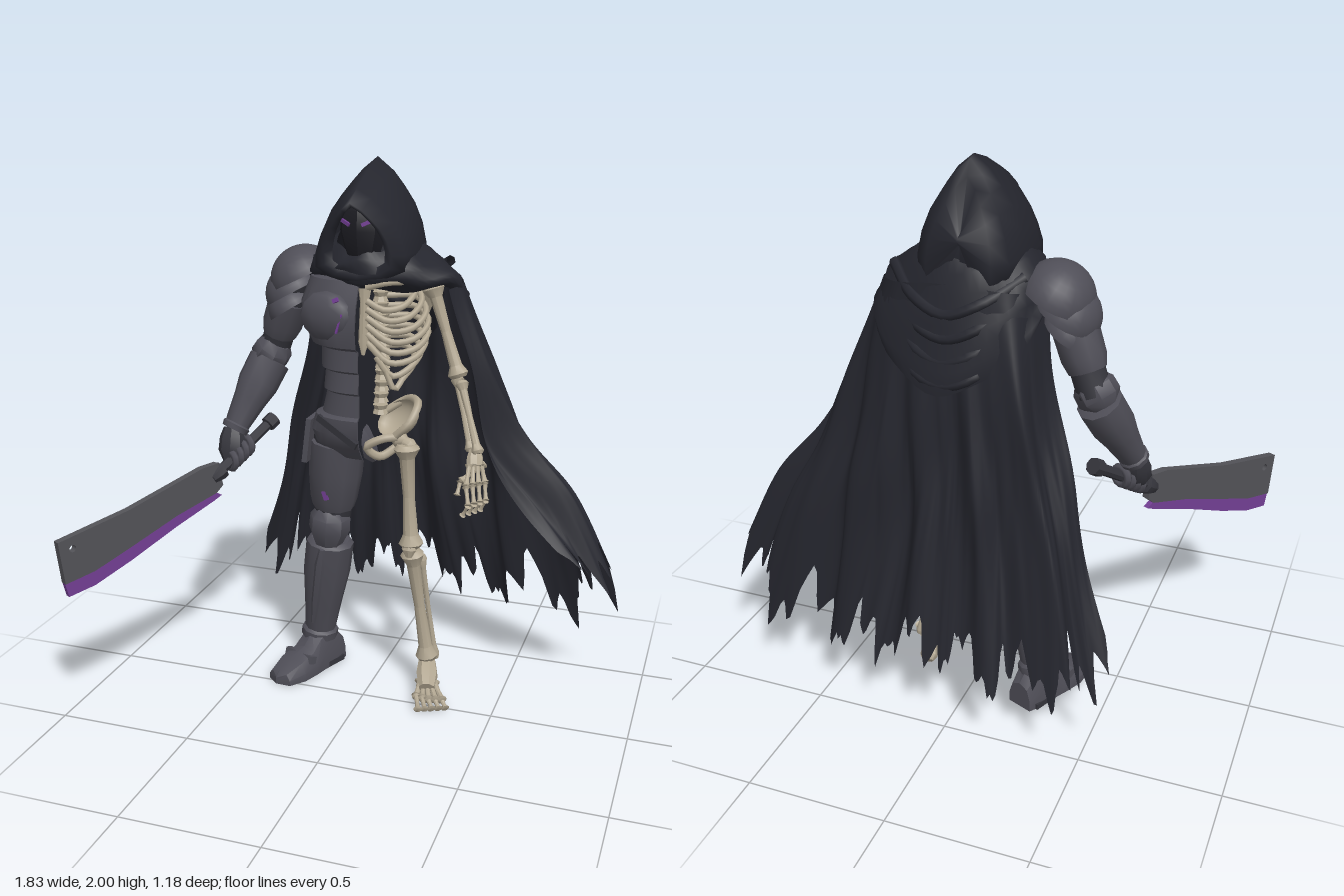
import * as THREE from 'three';
import { toCreasedNormals } from 'three/addons/utils/BufferGeometryUtils.js';

const V = (x, y, z) => new THREE.Vector3(x, y, z);
const mat = (name, color) => new THREE.MeshStandardMaterial({ name, color, side: THREE.DoubleSide });
const hash = n => { const s = Math.sin(n * 127.1) * 43758.5; return s - Math.floor(s); };
const tri = t => Math.abs((t - Math.floor(t)) * 2 - 1);

export function createModel() {
  const model = new THREE.Group();
  const cloth = mat('cloak cloth', 0x25262e), dark = mat('mask black', 0x1d1d23);
  const armour = mat('worn armour', 0x4f4e57), under = mat('dark joints', 0x35353c);
  const bone = mat('old bone', 0xb3a893), steel = mat('blade steel', 0x535358);
  const purple = mat('purple glow', 0x733f94);

  const add = (name, geo, m, parent = model) => {
    const mesh = new THREE.Mesh(geo, m);
    mesh.name = name;
    parent.add(mesh);
    return mesh;
  };
  // Surface through rows of points
  const loft = (rows, closed, crease) => {
    const n = rows[0].length, idx = [];
    for (let r = 0; r < rows.length - 1; r++)
      for (let i = 0; i < (closed ? n : n - 1); i++) {
        const a = r * n + i, b = r * n + (i + 1) % n;
        idx.push(a, b, b + n, a, b + n, a + n);
      }
    const g = new THREE.BufferGeometry().setFromPoints(rows.flat());
    g.setIndex(idx);
    g.computeVertexNormals();
    return crease ? toCreasedNormals(g, crease) : g;
  };
  // Turned solid running from a to b; profile holds [fraction, radius]
  const limb = (name, m, a, b, profile, seg = 12, flat = 1, parent = model) => {
    const d = b.clone().sub(a), len = d.length();
    const pts = [[profile[0][0], 0], ...profile, [profile.at(-1)[0], 0]];
    const g = new THREE.LatheGeometry(pts.map(([t, r]) => new THREE.Vector2(r, t * len)), seg);
    const mesh = add(name, toCreasedNormals(g, 0.7), m, parent);
    mesh.position.copy(a);
    mesh.quaternion.setFromUnitVectors(V(0, 1, 0), d.normalize());
    mesh.scale.z = flat;
    return mesh;
  };
  const longBone = (name, a, b, r) => limb(name, bone, a, b, [[0, 1.3], [.04, 1.9], [.13, 1.1], [.5, .85], [.87, 1.1], [.96, 1.8], [1, 1.3]].map(([t, k]) => [t, k * r]), 9);
  const tube = (name, m, pts, r) => add(name, new THREE.TubeGeometry(new THREE.CatmullRomCurve3(pts), 20, r, 6), m);
  const box = (name, m, size, pos, rot = [0, 0, 0], parent = model) => {
    const b = add(name, new THREE.BoxGeometry(...size), m, parent);
    b.position.set(...pos);
    b.rotation.set(...rot);
    return b;
  };

  // Cloak: eight hanging lines, from its right edge round the back to its left edge
  const lines = [
    [[-.26, 1.58, -.18], [-.29, 1.3, -.23], [-.37, 1, -.29], [-.47, .68, -.36], [-.66, .18, -.46]],
    [[-.2, 1.6, -.33], [-.25, 1.3, -.4], [-.31, 1, -.43], [-.37, .68, -.48], [-.46, .14, -.57]],
    [[-.08, 1.62, -.38], [-.1, 1.3, -.43], [-.12, 1, -.45], [-.14, .68, -.49], [-.16, .14, -.58]],
    [[.06, 1.62, -.38], [.05, 1.3, -.43], [.05, 1, -.45], [.07, .68, -.48], [.1, .2, -.57]],
    [[.2, 1.6, -.35], [.23, 1.3, -.4], [.26, 1, -.43], [.31, .68, -.45], [.42, .1, -.52]],
    [[.29, 1.58, -.25], [.38, 1.3, -.3], [.48, 1.04, -.33], [.6, .74, -.37], [.77, .14, -.41]],
    [[.3, 1.57, -.2], [.4, 1.3, -.2], [.53, 1, -.24], [.73, .78, -.28], [.95, .36, -.3]],
    [[.27, 1.56, -.13], [.34, 1.3, -.15], [.4, 1, -.16], [.52, .76, -.17], [.82, .48, -.15]]];
  const levels = [0, 1, 2, 3, 4].map(l => new THREE.CatmullRomCurve3(lines.map(c => V(...c[l]))));
  const cloak = [];
  const U = 200, R = 30;
  for (let i = 0; i <= U; i++) {
    const u = i / U, drop = new THREE.CatmullRomCurve3(levels.map(c => c.getPoint(u)));
    const end = 1 - .08 * tri(u * 9.3) - .06 * tri(u * 29) - .04 * hash(Math.floor(i / 2));
    cloak.push(Array.from({ length: R + 1 }, (_, j) => {
      const v = j / R, p = drop.getPoint(Math.min(1, v * end));
      const out = V(p.x, 0, p.z + .1).normalize();
      const fold = .6 * Math.sin(u * 44 + v * 2) + .4 * Math.sin(u * 23 - v * 9) + .25 * Math.sin(u * 80 + v * 5);
      return p.addScaledVector(out, .03 * Math.min(1, v * 1.6) * fold);
    }));
  }
  add('cloak', loft(cloak), cloth);

  // Draped cowl: [front y, back y, half width, front z, back z, centre x]
  const cowl = [[1.69, 1.75, .12, -.01, -.31, -.02], [1.665, 1.7, .17, .012, -.35, -.02], [1.65, 1.66, .2, .008, -.37, -.015], [1.63, 1.6, .235, .02, -.4, -.01],
    [1.615, 1.55, .25, .008, -.405, 0], [1.595, 1.49, .28, .012, -.43, .01], [1.58, 1.43, .285, -.01, -.43, .015], [1.565, 1.36, .295, -.025, -.455, .02], [1.555, 1.28, .285, -.05, -.455, .02]];
  add('cowl', loft(cowl.map(([yf, yb, w, zf, zb, cx], r) => Array.from({ length: 48 }, (_, i) => {
    const a = i / 48 * Math.PI * 2, c = Math.cos(a), s = Math.sin(a), k = (1 - c) / 2;
    const ripple = 1 + .02 * Math.sin(a * 5 + r * 1.4);
    return V(cx + w * s * ripple, yf + (yb - yf) * k * k + .03 * s * s + .008 * Math.sin(a * 7 + r), (zf + zb) / 2 + (zf - zb) / 2 * c * ripple);
  })), true), cloth);
  for (let i = 0; i < 4; i++) // hanging folds on the upper back
    tube('cowlFold', cloth, [V(-.21 + i * .02, 1.64 - i * .06, -.28), V(-.1, 1.57 - i * .075, -.385 - i * .012), V(.01, 1.53 - i * .075, -.405 - i * .012), V(.12, 1.57 - i * .075, -.385 - i * .012), V(.24 - i * .02, 1.64 - i * .06, -.27)], .019);

  // Hood: peaked sections from rim to nape, [top y, top z, bottom y, bottom z, half width]
  const hood = [[1.855, .07, 1.63, .0, .095], [1.87, .09, 1.61, .015, .122], [1.91, .01, 1.59, .005, .162], [1.965, -.11, 1.57, -.09, .178], [2, -.22, 1.56, -.2, .178],
    [1.99, -.25, 1.56, -.31, .155], [1.94, -.275, 1.58, -.36, .11], [1.78, -.33, 1.74, -.34, 0]];
  const half = [[0, 0], [.1, .3], [.22, .52], [.36, .74], [.52, .9], [.7, 1], [.86, .98], [.96, .6]];
  const outline = [...half, [1, 0], ...half.slice(1).reverse().map(([t, x]) => [t, -x])];
  add('hood', loft(hood.map(([yt, zt, yb, zb, w]) => outline.map(([t, x]) =>
    V(-.02 + w * x, yt + (yb - yt) * t, zt + (zb - zt) * t - .035 * Math.sin(t * Math.PI) * (w < .17 ? 1 : 0)))), true), cloth);

  // Shadowed mask and eyes
  limb('mask', dark, V(-.02, 1.62, -.05), V(-.02, 1.9, -.07), [[0, .02], [.2, .06], [.5, .085], [.75, .08], [1, .03]], 8, .9);
  for (const s of [-1, 1]) box('eye', purple, [.036, .012, .008], [-.02 + s * .037, 1.797, .022], [0, s * .4, s * .4]);

  // Armoured half of the torso: [y, width, front z, back z]
  const torso = [[1.63, .08, -.06, -.26], [1.59, .22, -.01, -.28], [1.5, .25, .03, -.28], [1.42, .235, .045, -.27], [1.36, .2, .035, -.25], [1.345, .17, .005, -.24],
    [1.27, .168, .01, -.23], [1.26, .155, -.005, -.22], [1.19, .16, .005, -.22], [1.18, .15, -.01, -.22], [1.1, .17, -.005, -.23], [1.09, .195, .01, -.24],
    [1.03, .215, .01, -.25], [.98, .2, -.01, -.24], [.93, .12, -.05, -.2], [.92, 0, -.12, -.12]];
  add('torsoArmour', loft(torso.map(([y, w, zf, zb]) => Array.from({ length: 15 }, (_, i) => {
    const a = i / 14 * Math.PI;
    return V(-.02 - w * Math.pow(Math.sin(a), .8), y, (zf + zb) / 2 + (zf - zb) / 2 * Math.cos(a));
  })), true, .5), armour);
  // Dark cut face along the middle of the body
  add('torsoLining', loft(torso.map(([y, , zf, zb]) => [V(-.016, y, zf + .002), V(-.016, y, zb)])), cloth);
  const chest = add('breastPlate', new THREE.SphereGeometry(1, 10, 6).scale(.11, .09, .05), armour);
  chest.position.set(-.135, 1.465, 0);
  chest.rotation.y = -.2;
  limb('groinPlate', armour, V(-.07, 1.06, -.05), V(.01, .92, -.11), [[0, .05], [.3, .06], [.7, .045], [1, .02]], 8, .8);
  box('belt', under, [.19, .025, .014], [-.1, 1.045, .0], [0, -.3, -.45]);
  box('sideTasset', armour, [.02, .17, .15], [-.24, .98, -.13], [0, 0, -.12]);
  box('chestGlow', purple, [.022, .015, .008], [-.09, 1.53, .036], [-.3, -.2, .4]);
  box('chestCrack', purple, [.007, .07, .008], [-.075, 1.45, .044], [-.1, -.15, -.3]);

  // Armoured arm with layered shoulder plates
  const shoulder = V(-.32, 1.57, -.2), elbow = V(-.44, 1.26, -.24), wrist = V(-.55, .98, -.1);
  [[-.29, 1.555, .128], [-.325, 1.5, .115], [-.335, 1.44, .096]].forEach(([x, y, r], i) => {
    const p = add('shoulderPlate', new THREE.SphereGeometry(r, 20, 8, 0, Math.PI * 2, 0, 1.5), armour);
    p.position.set(x, y, -.2);
    p.rotation.z = .45 + i * .05;
    p.scale.z = 1.08;
  });
  limb('upperArm', under, shoulder, elbow, [[0, .075], [.4, .07], [.75, .058], [1, .058]]);
  limb('upperArmPlate', armour, shoulder, elbow, [[.3, .078], [.62, .075], [.75, .064]], 10);
  limb('elbowGuard', armour, V(-.41, 1.31, -.22), V(-.47, 1.22, -.23), [[0, .05], [.3, .073], [.7, .075], [1, .05]], 8);
  limb('forearm', armour, elbow, wrist, [[.08, .055], [.1, .08], [.4, .078], [.6, .064], [.92, .048], [.94, .054], [1, .05]], 10);
  limb('hand', under, V(-.555, .99, -.1), V(-.55, .87, -.06), [[0, .035], [.3, .048], [.7, .05], [1, .03]], 8, .75);

  // Cleaver, drawn flat and turned outward
  const cleaver = new THREE.Group();
  cleaver.name = 'cleaver';
  cleaver.position.x = -.575;
  cleaver.rotation.y = -Math.PI * 2 / 3;
  model.add(cleaver);
  const plate = (name, m, pts, depth, hole) => {
    const s = new THREE.Shape(pts.map(p => new THREE.Vector2(...p)));
    if (hole) s.holes.push(new THREE.Path().absarc(...hole, 0, Math.PI * 2, true));
    add(name, new THREE.ExtrudeGeometry(s, { depth, bevelEnabled: false }), m, cleaver).position.z = -depth / 2;
  };
  plate('blade', steel, [[-.01, .79], [.01, .88], [.08, .875], [.4, .79], [.685, .74], [.667, .58], [.55, .598], [.4, .648], [.2, .718], [.02, .765]], .028, [.63, .705, .013]);
  plate('bladeEdge', purple, [[.02, .765], [.2, .718], [.4, .648], [.55, .598], [.667, .58], [.655, .528], [.55, .543], [.4, .595], [.2, .675], [.03, .735], [-.005, .75]], .02);
  limb('handle', under, V(.03, .82, 0), V(-.27, 1, 0), [[0, .022], [.1, .034], [.16, .034], [.17, .02], [.88, .02], [.89, .03], [1, .03]], 8, 1, cleaver);
  for (let i = 0; i < 4; i++) {
    const f = add('finger', new THREE.TorusGeometry(.032, .014, 6, 12), armour, cleaver);
    f.position.set(-.06 - i * .025, .874 + i * .015, 0);
    f.rotation.y = Math.PI / 2;
  }

  // Armoured leg
  const hip = V(-.145, .99, -.14), knee = V(-.18, .62, -.165), ankle = V(-.255, .12, -.215);
  limb('thigh', under, hip, knee, [[0, .09], [.5, .085], [1, .065]]);
  limb('thighPlate', armour, hip, knee, [[.05, .106], [.4, .102], [.68, .09], [.78, .08]], 10);
  limb('kneeGuard', armour, V(-.175, .7, -.14), V(-.19, .55, -.145), [[0, .05], [.25, .078], [.6, .08], [1, .055]], 8);
  limb('shinPlate', armour, knee, ankle, [[.12, .068], [.15, .084], [.4, .083], [.7, .066], [.92, .056], [.94, .066], [1, .066]], 10, 1.1);
  limb('shinRidge', armour, V(-.195, .54, -.09), V(-.255, .2, -.145), [[0, .012], [.2, .022], [.7, .018], [1, .008]], 6);
  box('thighGlow', purple, [.02, .035, .008], [-.17, .77, -.064], [.05, 0, .3]);
  const boot = new THREE.Group();
  boot.name = 'boot';
  boot.position.set(-.255, 0, -.195);
  boot.rotation.y = -.4;
  model.add(boot);
  // Boot sections: [z, half width, height]
  const bootRows = [[-.11, 0, .05], [-.11, .05, .1], [-.05, .063, .17], [.03, .066, .15], [.08, .072, .1], [.15, .075, .08], [.22, .055, .05], [.24, 0, .03]];
  add('bootShell', loft(bootRows.map(([z, w, h]) => [[-1, 0], [-1, .4], [-.7, .85], [0, 1], [.7, .85], [1, .4], [1, 0]].map(([x, y]) => V(x * w, y * h, z))), true, .6), armour, boot);
  box('bootSole', under, [.13, .022, .27], [0, .012, .05], [0, 0, 0], boot);
  box('toeStrap', armour, [.14, .03, .03], [0, .068, .1], [-.3, 0, 0], boot);

  // Skeleton half: spine, ribs, shoulder girdle
  for (let i = 0; i < 13; i++) {
    const y = 1.08 + i * .042, z = -.17 - .025 * Math.sin(i / 3);
    limb('vertebra', bone, V(.01, y, z), V(.01, y + .034, z), [[0, .03], [.5, .022], [1, .03]], 8);
  }
  for (let i = 0; i < 8; i++) {
    const y = 1.57 - i * .037, w = .125 + .075 * Math.sin((i + 1) / 9 * Math.PI), low = Math.max(0, i - 5);
    tube('rib', bone, [V(.02, y + .02, -.19), V(w * .65, y + .02, -.21), V(w, y - .015, -.13), V(w * .88, y - .06, -.04), V(w * .5 + low * .02, y - .07 - low * .01, .0), V(.015 + low * .035, y - .04 + i * .008 - low * .02, .01)], .0115);
  }
  limb('sternum', bone, V(.005, 1.57, .0), V(.005, 1.34, .018), [[0, .024], [.2, .016], [.8, .019], [1, .006]], 8, .5);
  tube('collarbone', bone, [V(.01, 1.575, 0), V(.08, 1.595, -.005), V(.15, 1.595, -.06), V(.23, 1.6, -.12)], .014);
  limb('shoulderBlade', bone, V(.19, 1.59, -.22), V(.13, 1.38, -.25), [[0, .07], [.5, .05], [1, .012]], 8, .2);

  // Skeleton arm and hand
  longBone('humerus', V(.215, 1.575, -.12), V(.325, 1.26, -.09), .021);
  longBone('radius', V(.335, 1.25, -.08), V(.425, 1.02, .015), .013);
  longBone('ulna', V(.315, 1.26, -.095), V(.395, 1.02, -.01), .013);
  limb('wristBones', bone, V(.41, 1.03, .0), V(.417, .98, .025), [[0, .02], [.5, .03], [1, .03]], 8, .7);
  for (let i = 0; i < 5; i++) {
    const s = i - 1.5, thumb = i === 4;
    const a = V(.418 + s * .012, .985, .025 - s * .008);
    const b = thumb ? V(.375, .93, .06) : V(.43 + s * .017, .925, .065 - s * .022);
    const c = thumb ? V(.37, .885, .085) : V(.445 + s * .015, .87, .1 - s * .024);
    longBone('handBone', a, b, .0085);
    longBone('fingerBone', b, c, .0075);
    if (!thumb) longBone('fingertip', c, V(c.x - .022, .828, c.z - .012), .0065);
  }

  // Pelvis, leg and foot bones
  const ilium = add('hipBone', new THREE.SphereGeometry(.1, 18, 10, 0, Math.PI * 2, 0, 1.6), bone);
  ilium.position.set(.085, 1.075, -.14);
  ilium.rotation.set(-2.3, 0, -.5);
  ilium.scale.set(.95, .5, .75);
  tube('hipRim', bone, [V(.02, 1.08, -.2), V(.1, 1.13, -.21), V(.165, 1.14, -.13), V(.15, 1.08, -.07), V(.1, 1.03, -.07)], .016);
  tube('pubicBone', bone, [V(.12, 1.02, -.09), V(.06, 1.02, -.05), V(.0, .985, -.04), V(.04, .945, -.07), V(.1, .98, -.12)], .016);
  limb('femurHead', bone, V(.09, 1.02, -.1), V(.165, .985, -.08), [[0, .024], [.25, .034], [.5, .022], [.8, .028], [1, .02]], 9);
  longBone('femur', V(.14, 1, -.075), V(.16, .6, -.085), .026);
  limb('kneecap', bone, V(.16, .63, -.055), V(.16, .57, -.053), [[0, .012], [.5, .028], [1, .012]], 8, .6);
  longBone('tibia', V(.16, .585, -.09), V(.215, .12, -.14), .024);
  longBone('fibula', V(.19, .56, -.115), V(.24, .12, -.16), .011);
  limb('heel', bone, V(.21, .09, -.12), V(.195, .03, -.2), [[0, .03], [.5, .03], [.8, .034], [1, .02]], 8);
  limb('instep', bone, V(.215, .11, -.14), V(.245, .055, -.03), [[0, .034], [.5, .042], [1, .032]], 8, .85);
  for (let i = 0; i < 5; i++) {
    const s = i - 2, m = V(.262 + s * .025, .03, .01 - Math.abs(s) * .006);
    longBone('footBone', V(.235 + s * .014, .06, -.07), m, .011);
    longBone('toe', m, V(.285 + s * .024, .014, .065 - i * .01), .009);
  }
  return model;
}
